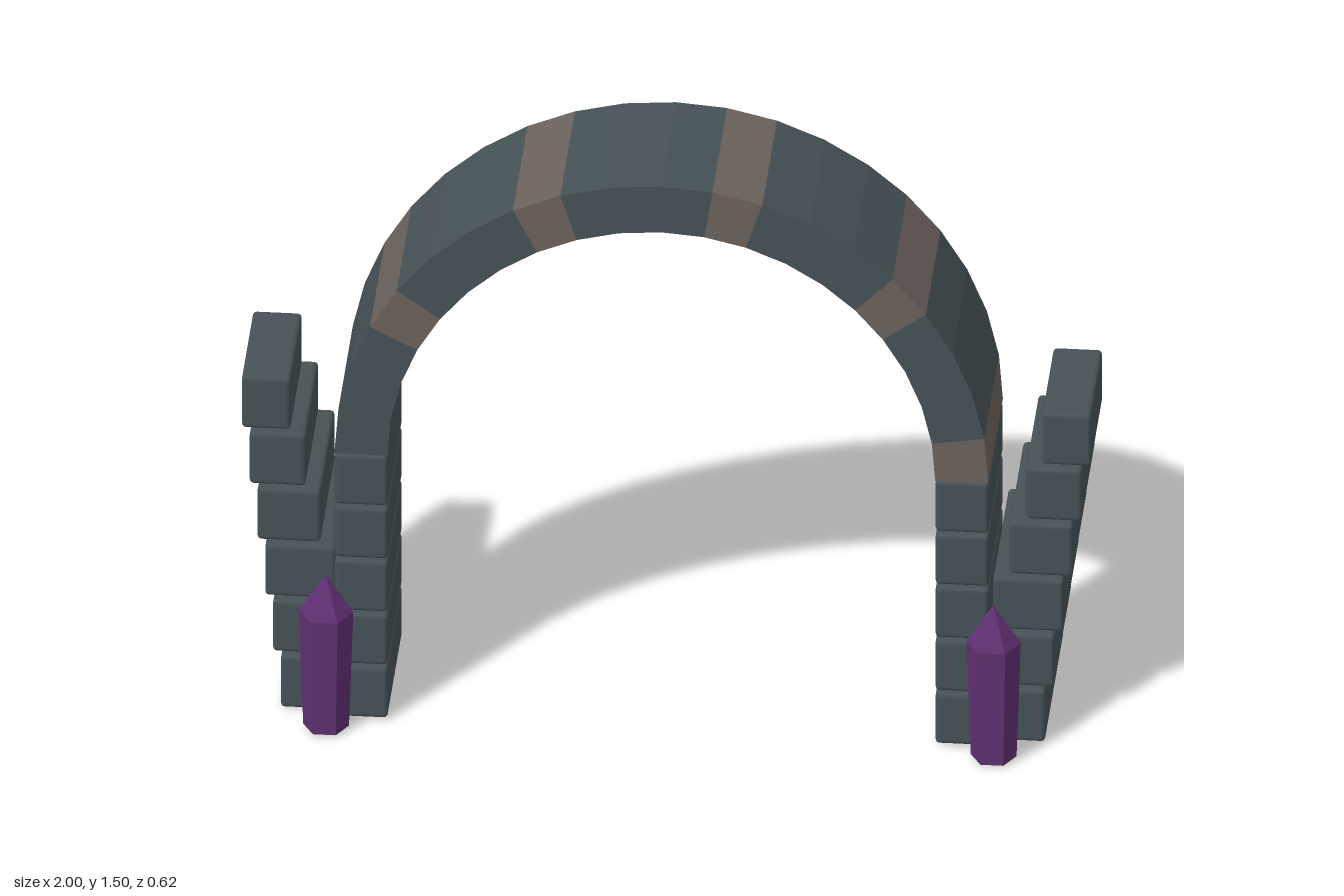
import * as THREE from 'three';
import { RoundedBoxGeometry } from 'three/addons/geometries/RoundedBoxGeometry.js';

export function createModel() {
  const model = new THREE.Group();
  model.name = 'stoneArchway';

  const material = (name, color) => {
    const m = new THREE.MeshStandardMaterial({ color, flatShading: true });
    m.name = name;
    return m;
  };
  const stone = material('slateStone', 0x465156);
  const brown = material('brownStone', 0x6b625c);
  const purple = material('purpleCrystal', 0x5f2f72);

  const add = (parent, name, geometry, mat) => {
    const mesh = new THREE.Mesh(geometry, mat);
    mesh.name = name;
    parent.add(mesh);
    return mesh;
  };

  // Slightly rounded brick given by its extents
  const brick = (parent, name, x0, x1, y0, y1, z0, z1) => {
    const g = new RoundedBoxGeometry(x1 - x0, y1 - y0, z1 - z0, 2, 0.01);
    add(parent, name, g, stone).position.set((x0 + x1) / 2, (y0 + y1) / 2, (z0 + z1) / 2);
  };

  const BACK = -0.17, FRONT = 0.217;
  const INNER = 0.645, OUTER = 0.77, SPRING = 0.73;

  // Arch: twenty 9-degree wedges, every fourth one brown
  const arch = new THREE.Group();
  arch.name = 'arch';
  model.add(arch);
  const step = Math.PI / 20;
  const archRun = (name, first, count, mat) => {
    const pts = [];
    const point = (r, i) => new THREE.Vector2(r * Math.cos(i * step), r * Math.sin(i * step));
    for (let i = first; i <= first + count; i++) pts.push(point(OUTER, i));
    for (let i = first + count; i >= first; i--) pts.push(point(INNER, i));
    const g = new THREE.ExtrudeGeometry(new THREE.Shape(pts), { depth: FRONT - BACK, bevelEnabled: false });
    add(arch, name, g, mat).position.set(0, SPRING, BACK);
  };
  for (let i = 0; i < 20; i += 4) {
    archRun('brownWedge', i, 1, brown);
    archRun('slateWedges', i + 1, 3, stone);
  }

  for (const side of [1, -1]) {
    const label = side > 0 ? 'left' : 'right';
    const group = (name) => {
      const g = new THREE.Group();
      g.name = label + name;
      model.add(g);
      return g;
    };
    // Mirrors an x range to the chosen side
    const range = (a, b) => (side > 0 ? [a, b] : [-b, -a]);

    // Pillar of five bricks under the arch
    const pillar = group('Pillar');
    for (let i = 0; i < 5; i++) {
      const y = 0.01 + i * 0.145;
      brick(pillar, 'pillarBrick', ...range(INNER, OUTER), y, y + 0.137, BACK, FRONT);
    }

    // Buttress: six bricks that shrink and lean outward as they rise
    const buttress = group('Buttress');
    for (let i = 0; i < 6; i++) {
      const y = 0.004 + i * 0.141;
      brick(buttress, 'buttressBrick', ...range(0.7 + i * 0.037, 0.9 + i * 0.02),
        y, y + 0.14, -0.31 + i * 0.018, 0.178 - i * 0.018);
    }

    // Six-sided crystal with a pointed tip
    const crystal = group('Crystal');
    crystal.position.set(side * 0.786, 0.01, 0.255);
    crystal.rotation.y = Math.PI / 2;
    add(crystal, 'crystalShaft', new THREE.CylinderGeometry(0.064, 0.054, 0.31, 6), purple).position.y = 0.155;
    add(crystal, 'crystalTip', new THREE.ConeGeometry(0.064, 0.1, 6, 1, true), purple).position.y = 0.36;
  }

  return model;
}
